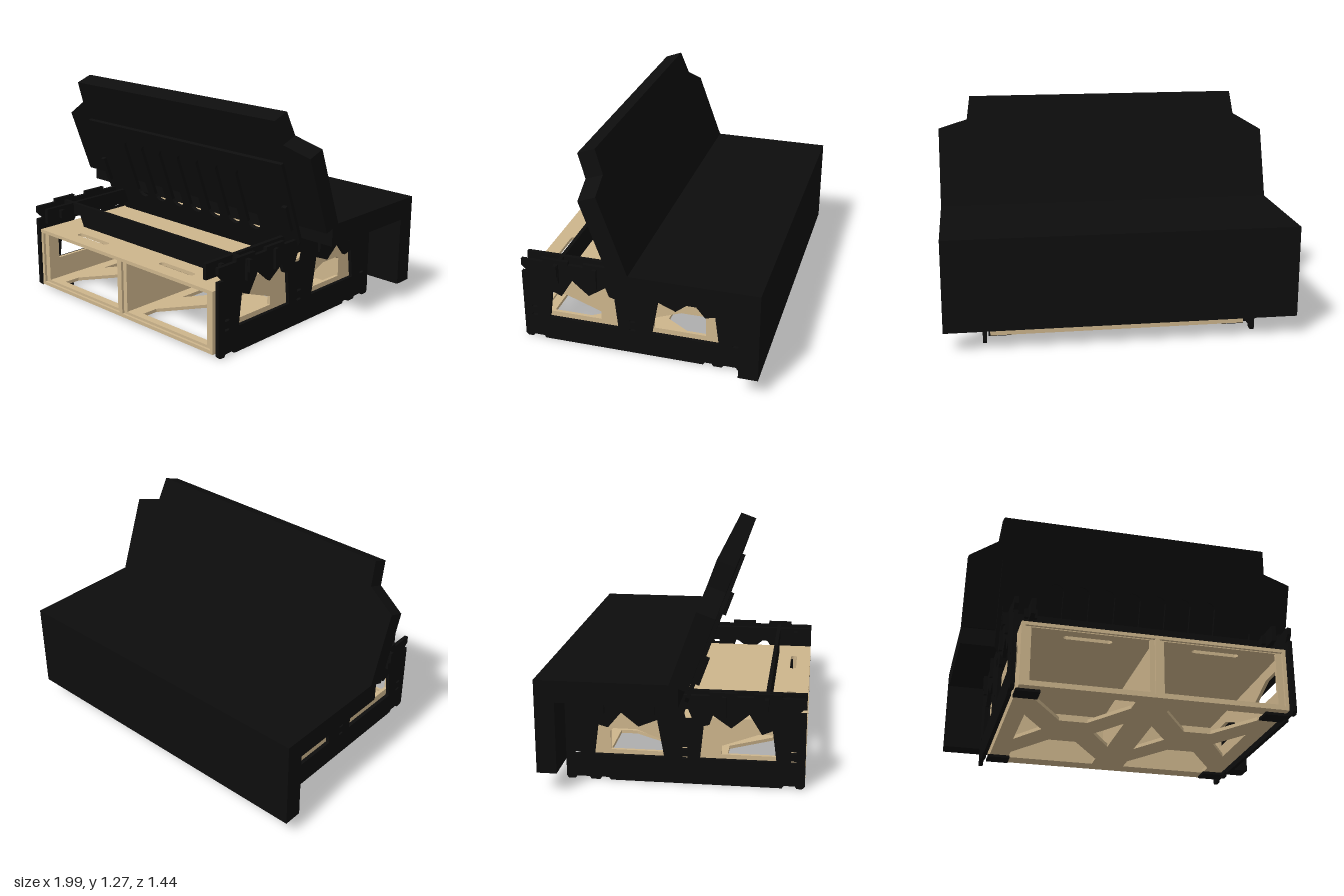
import * as THREE from 'three';

const black = new THREE.MeshStandardMaterial({ color: 0x0d0d0d });
black.name = 'black';
const tan = new THREE.MeshStandardMaterial({ color: 0xcdb58c });
tan.name = 'plywood';

// Flat shape from points, with optional holes
function outline(points, holes = []) {
  const shape = new THREE.Shape(points.map(p => new THREE.Vector2(...p)));
  for (const h of holes) shape.holes.push(new THREE.Path(h.map(p => new THREE.Vector2(...p))));
  return shape;
}
const rect = (a, b, c, d) => [[a, b], [c, b], [c, d], [a, d]];

// Rounded slot outline, centred on (cx, cy)
function slot(cx, cy, w, h) {
  const r = Math.min(w, h) / 2, pts = [];
  for (let i = 0; i < 16; i++) {
    const a = (i + 0.5) / 16 * Math.PI * 2;
    const c = Math.cos(a), s = Math.sin(a);
    pts.push([cx + c * r + Math.sign(c) * (w / 2 - r), cy + s * r + Math.sign(s) * (h / 2 - r)]);
  }
  return pts;
}
const extrude = (shape, depth) =>
  new THREE.ExtrudeGeometry(shape, { depth, bevelEnabled: false, curveSegments: 6 });

// Upright plate drawn in (z, y), centred on x
const sidePlate = (shape, x, t) => extrude(shape, t).rotateY(-Math.PI / 2).translate(x + t / 2, 0, 0);
// Level plate drawn in (x, z), top face at y
const levelPlate = (shape, y, t) => extrude(shape, t).rotateX(Math.PI / 2).translate(0, y, 0);

export function createModel() {
  const model = new THREE.Group();
  const add = (name, geo, mat, parent = model) => {
    const m = new THREE.Mesh(geo, mat);
    m.name = name;
    parent.add(m);
    return m;
  };
  const box = (name, mat, x0, x1, y0, y1, z0, z1, parent = model) =>
    add(name, new THREE.BoxGeometry(x1 - x0, y1 - y0, z1 - z0)
      .translate((x0 + x1) / 2, (y0 + y1) / 2, (z0 + z1) / 2), mat, parent);

  // Plywood storage box, open at the front
  const crate = new THREE.Group();
  crate.name = 'storageBox';
  model.add(crate);
  const W = 0.735, back = -0.52, front = 0.715;

  add('boxTop', levelPlate(outline(rect(-W, back, W, front),
    [slot(-0.36, 0.61, 0.27, 0.04), slot(0.36, 0.61, 0.27, 0.04)]), 0.38, 0.02), tan, crate);

  // Floor with cross-shaped bracing in each bay
  const floorHoles = [];
  const zc = 0.1;
  for (const s of [-1, 1]) {
    const cx = s * 0.36;
    for (const d of [-1, 1]) {
      floorHoles.push([[cx - 0.26, zc + d * 0.53], [cx + 0.26, zc + d * 0.53], [cx + 0.26, zc + d * 0.43],
        [cx + 0.08, zc + d * 0.16], [cx - 0.08, zc + d * 0.16], [cx - 0.26, zc + d * 0.43]]);
      floorHoles.push([[cx + d * 0.28, zc - 0.2], [cx + d * 0.28, zc + 0.2], [cx + d * 0.15, zc]]);
    }
  }
  add('boxFloor', levelPlate(outline(rect(-W, back, W, front), floorHoles), 0.04, 0.02), tan, crate);

  const wallHoles = [
    [[0.6, 0.17], [0.255, 0.17], [0.255, 0.22], [0.46, 0.295], [0.6, 0.295]],
    [[-0.06, 0.17], [-0.365, 0.17], [-0.365, 0.28], [-0.35, 0.295], [-0.22, 0.295], [-0.06, 0.235]]
  ];
  for (const s of [-1, 1])
    add('boxSide', sidePlate(outline(rect(back, 0.02, front, 0.38), wallHoles), s * (W - 0.01), 0.02), tan, crate);
  box('divider', tan, -0.012, 0.012, 0.04, 0.36, back, front, crate);
  box('boxBack', tan, -W, W, 0.02, 0.38, back - 0.01, back + 0.01, crate);

  // Narrow frame just inside each opening
  for (const s of [-1, 1])
    add('openingFrame', extrude(outline(rect(s * 0.36 - 0.355, 0.03, s * 0.36 + 0.355, 0.37),
      [rect(s * 0.36 - 0.32, 0.055, s * 0.36 + 0.32, 0.355)]), 0.015).translate(0, 0, 0.685), tan, crate);

  // Black side frames with peak-shaped windows
  const frameEdge = [
    [0.715, 0.02], [0.7, 0.005], [0.67, 0.005], [0.66, 0.02], [0.6, 0.02], [0.59, 0.005],
    [-0.36, 0.005], [-0.37, 0.02], [-0.41, 0.02], [-0.42, 0.005], [-0.47, 0.005], [-0.48, 0.02],
    [-0.55, 0.02], [-0.56, 0.005], [-0.6, 0.005], [-0.61, 0.02], [-0.61, 0.52],
    [0.19, 0.52], [0.19, 0.54], [0.34, 0.54], [0.34, 0.52], [0.43, 0.52], [0.43, 0.54],
    [0.58, 0.54], [0.58, 0.52], [0.715, 0.52], [0.715, 0.48], [0.675, 0.44], [0.715, 0.44]
  ];
  const frameHoles = [
    [[0.558, 0.154], [0.535, 0.335], [0.477, 0.31], [0.408, 0.423], [0.31, 0.34], [0.21, 0.41],
      [0.19, 0.355], [0.158, 0.346], [0.138, 0.154]],
    [[-0.058, 0.154], [-0.096, 0.37], [-0.2, 0.327], [-0.296, 0.404], [-0.37, 0.315], [-0.427, 0.33], [-0.45, 0.154]],
    [[0.095, 0.39], [0.06, 0.39], [0.05, 0.44], [0.075, 0.44]],
    slot(-0.545, 0.158, 0.035, 0.014)
  ];
  for (const z of [0.65, 0.055])
    for (const y of [0.158, 0.213]) frameHoles.push(slot(z, y, 0.035, 0.014));

  for (const s of [-1, 1]) {
    add('sideFrame', sidePlate(outline(frameEdge, frameHoles), s * 0.767, 0.022), black);
    // Inner rail carrying the cross members
    box('innerRail', black, s * 0.675 - 0.012, s * 0.675 + 0.012, 0.43, 0.52, -0.6, 0.715);
    box('railTab', black, s * 0.675 - 0.035, s * 0.675 + 0.035, 0.45, 0.5, 0.6, 0.625);
    for (const z of [0.62, -0.45])
      box('foot', black, s * 0.68 - 0.065, s * 0.68 + 0.065, 0.005, 0.02, z - 0.05, z + 0.05);
    // Hooks over the outside of each frame
    for (const z of [0.5, 0.27, -0.12, -0.4])
      box('frameHook', black, s * 0.785 - 0.01, s * 0.785 + 0.01, 0.4, 0.52, z - 0.012, z + 0.012);
  }

  // Cross members between the frames
  add('frontCrossbar', extrude(outline([[-0.81, 0.45], [-0.6, 0.45], [-0.57, 0.385], [0.57, 0.385],
    [0.6, 0.45], [0.81, 0.45], [0.81, 0.52], [-0.81, 0.52]]), 0.022).translate(0, 0, 0.489), black);
  box('rearCrossbar', black, -0.8, 0.8, 0.43, 0.52, -0.41, -0.39);

  // Seat cushion and hanging rear cushion
  box('seatCushion', black, -0.995, 0.995, 0.523, 0.645, -0.61, 0.05);
  box('rearCushion', black, -0.995, 0.995, 0.12, 0.645, -0.72, -0.61);

  // Backrest leaning forward by 20 degrees
  const backrest = new THREE.Group();
  backrest.name = 'backrest';
  backrest.position.set(0, 0.645, 0);
  backrest.rotation.x = THREE.MathUtils.degToRad(20);
  model.add(backrest);
  add('backCushion', extrude(outline([[-0.995, 0], [0.995, 0], [0.995, 0.473], [0.825, 0.525],
    [0.805, 0.667], [-0.81, 0.667], [-0.825, 0.525], [-0.995, 0.42]]), 0.105), black, backrest);

  // Slotted support board on the front of the cushion
  const slots = [];
  for (let i = -3; i <= 3; i++) slots.push(slot(i * 0.157, 0.105, 0.095, 0.4));
  add('backBoard', extrude(outline([[-0.7, -0.25], [0.7, -0.25], [0.8, -0.1], [0.8, 0.41],
    [-0.8, 0.41], [-0.8, -0.1]], slots), 0.022).translate(0, 0, 0.105), black, backrest);
  for (const s of [-1, 1])
    add('hingeBracket', new THREE.BoxGeometry(0.03, 0.16, 0.03).translate(s * 0.76, 0.06, 0.135), black, backrest);

  return model;
}
